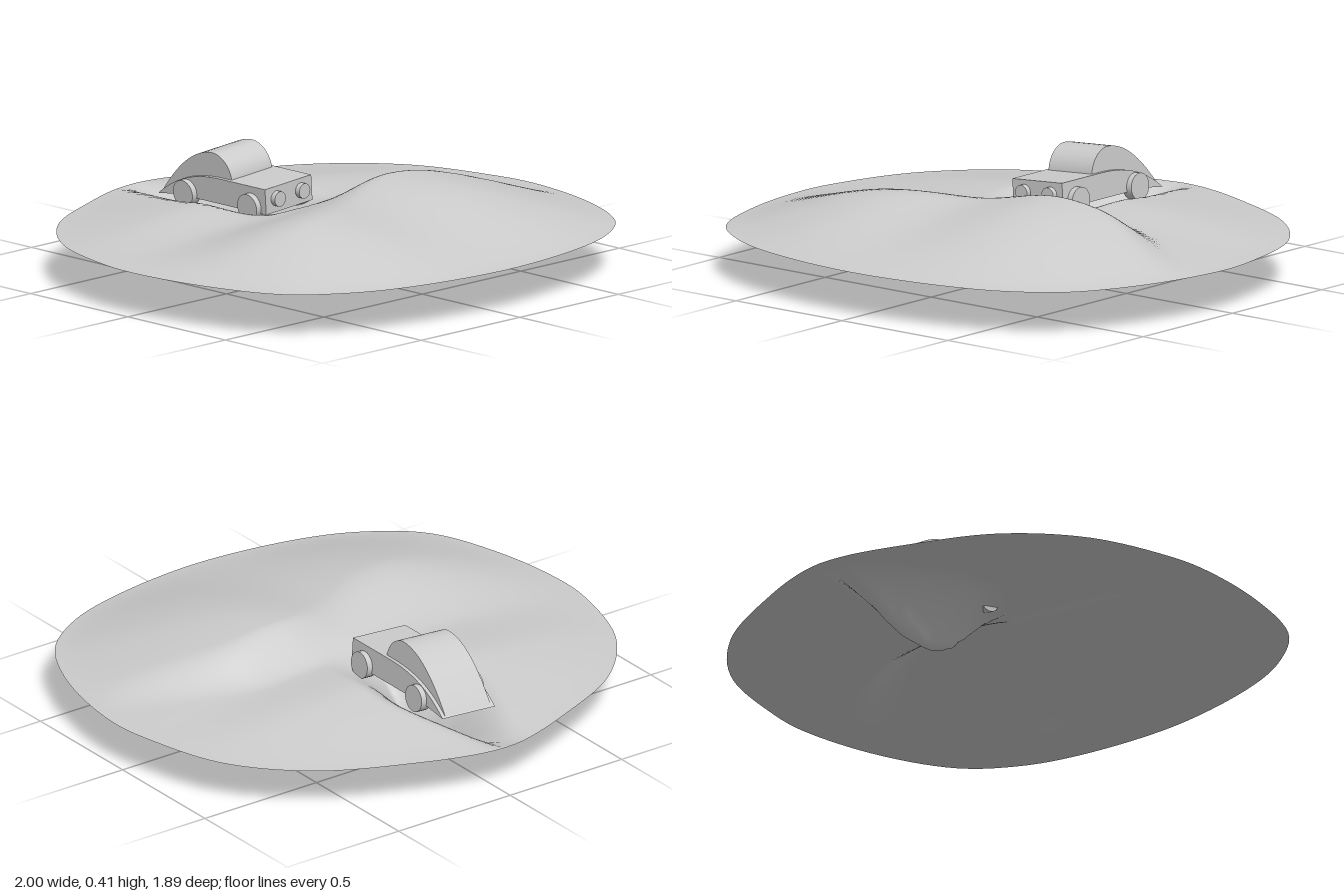
import * as THREE from 'three';
import { toCreasedNormals } from 'three/addons/utils/BufferGeometryUtils.js';

const grey = new THREE.MeshStandardMaterial({ color: 0xcccccc, side: THREE.DoubleSide });
grey.name = 'pale grey';

const RIM_Y = 0.175;
const smooth = THREE.MathUtils.smoothstep;

// Outline of the land, clockwise from the back seen from above (x, z)
const OUTLINE = [
  [-0.02, -0.95], [0.1, -0.935], [0.3, -0.87], [0.65, -0.7], [0.88, -0.45], [0.98, -0.13], [1, 0.06],
  [0.94, 0.4], [0.81, 0.67], [0.65, 0.8], [0.45, 0.88], [0, 0.94], [-0.45, 0.88],
  [-0.67, 0.79], [-0.85, 0.64], [-0.96, 0.35], [-1, 0.04], [-0.985, -0.13], [-0.88, -0.45],
  [-0.66, -0.7], [-0.34, -0.86], [-0.13, -0.935],
];

// Height of the gully floor along z
const KEEL = [
  [-0.95, 0.175], [-0.8, 0.118], [-0.65, 0.06], [-0.53, 0.014], [-0.42, 0], [-0.3, 0.035],
  [-0.2, 0.125], [-0.12, 0.2], [-0.02, 0.27],
];

function keelHeight(z) {
  for (let i = 1; i < KEEL.length; i++) {
    const [z0, y0] = KEEL[i - 1];
    const [z1, y1] = KEEL[i];
    if (z <= z1) return y0 + (y1 - y0) * THREE.MathUtils.clamp((z - z0) / (z1 - z0), 0, 1);
  }
  return 1;
}

// Dome falling to the rim, an S-shaped ridge and a V-shaped gully; s is 0 at centre, 1 at rim
function landHeight(x, z, s) {
  const edge = Math.pow(Math.max(0, 1 - s * s), 1.3);
  const left = 1 - smooth(x, -0.4, 0.25);
  const ridgeZ = 0.1 + 0.25 * left + 0.2 * smooth(x, 0.4, 0.95);
  const slope = smooth(z, ridgeZ - 0.22 - 0.23 * left, ridgeZ);
  const back = 0.065 + 0.035 * smooth(-z, 0.1, 0.4);
  const front = 0.2 - 0.055 * Math.exp(-(((x + 0.05) / 0.25) ** 2));
  const y = RIM_Y + edge * (back + (front - back) * slope);

  const halfWidth = 0.1 + 0.14 * smooth(z, -0.95, -0.4);
  const across = Math.max(0, 1 - Math.abs(x + 0.042) / halfWidth);
  return y - Math.max(0, y - keelHeight(z)) * Math.pow(across, 1.5);
}

function landGeometry(rings = 36, segments = 144) {
  const rim = new THREE.CatmullRomCurve3(
    OUTLINE.map(([x, z]) => new THREE.Vector3(x, 0, z)), true, 'centripetal',
  ).getSpacedPoints(segments);
  const positions = [0, landHeight(0, 0, 0), 0];
  const index = [];
  for (let r = 1; r <= rings; r++) {
    const s = r / rings;
    for (let i = 0; i < segments; i++) {
      const x = rim[i].x * s;
      const z = rim[i].z * s;
      positions.push(x, landHeight(x, z, s), z);
      const next = (i + 1) % segments;
      const a = 1 + (r - 1) * segments;
      if (r === 1) index.push(0, a + next, a + i);
      else {
        const b = a - segments;
        index.push(b + i, b + next, a + i, b + next, a + next, a + i);
      }
    }
  }
  const geometry = new THREE.BufferGeometry();
  geometry.setAttribute('position', new THREE.Float32BufferAttribute(positions, 3));
  geometry.setIndex(index);
  geometry.computeVertexNormals();
  return geometry;
}

function addMesh(parent, name, geometry, x = 0, y = 0, z = 0) {
  const mesh = new THREE.Mesh(geometry, grey);
  mesh.name = name;
  mesh.position.set(x, y, z);
  parent.add(mesh);
  return mesh;
}

// Side profile drawn in (distance backwards, height), extruded across the car
function sideExtrude(shape, width) {
  const geometry = new THREE.ExtrudeGeometry(shape, { depth: width, bevelEnabled: false, curveSegments: 16 });
  geometry.translate(0, 0, -width / 2);
  geometry.rotateY(Math.PI / 2);
  return toCreasedNormals(geometry, 0.6);
}

function createCar() {
  const car = new THREE.Group();
  car.name = 'car';
  const lift = 0.27; // height of the roll axis

  // Low body with a flat bonnet and a falling tail
  const body = new THREE.Shape();
  body.moveTo(0.145, 0.225);
  body.lineTo(0.6, 0.225);
  body.lineTo(0.7, 0.212);
  body.bezierCurveTo(0.62, 0.275, 0.53, 0.32, 0.37, 0.32);
  body.lineTo(0.145, 0.32);
  body.closePath();
  addMesh(car, 'body', sideExtrude(body, 0.235), 0, -lift, 0);

  // Rounded cabin sweeping back to the tail
  const cabin = new THREE.Shape();
  cabin.moveTo(0.33, 0.315);
  cabin.bezierCurveTo(0.335, 0.37, 0.38, 0.407, 0.425, 0.407);
  cabin.bezierCurveTo(0.52, 0.405, 0.61, 0.33, 0.695, 0.217);
  cabin.lineTo(0.6, 0.24);
  cabin.closePath();
  addMesh(car, 'cabin', sideExtrude(cabin, 0.205), 0, -lift, 0);

  const wheel = new THREE.CylinderGeometry(0.05, 0.05, 0.04, 24).rotateZ(Math.PI / 2);
  const lamp = new THREE.CylinderGeometry(0.028, 0.028, 0.03, 20).rotateX(Math.PI / 2);
  for (const side of [-1, 1]) {
    addMesh(car, 'frontWheel', wheel, side * 0.12, 0.245 - lift, -0.22);
    addMesh(car, 'rearWheel', wheel, side * 0.12, 0.24 - lift, -0.55);
    addMesh(car, 'headlight', lamp, side * 0.062, 0.275 - lift, -0.14);
  }

  car.position.set(-0.04, lift, 0);
  car.rotation.z = 0.07;
  return car;
}

export function createModel() {
  const model = new THREE.Group();
  model.name = 'carOnHill';
  addMesh(model, 'land', landGeometry());
  model.add(createCar());
  return model;
}
